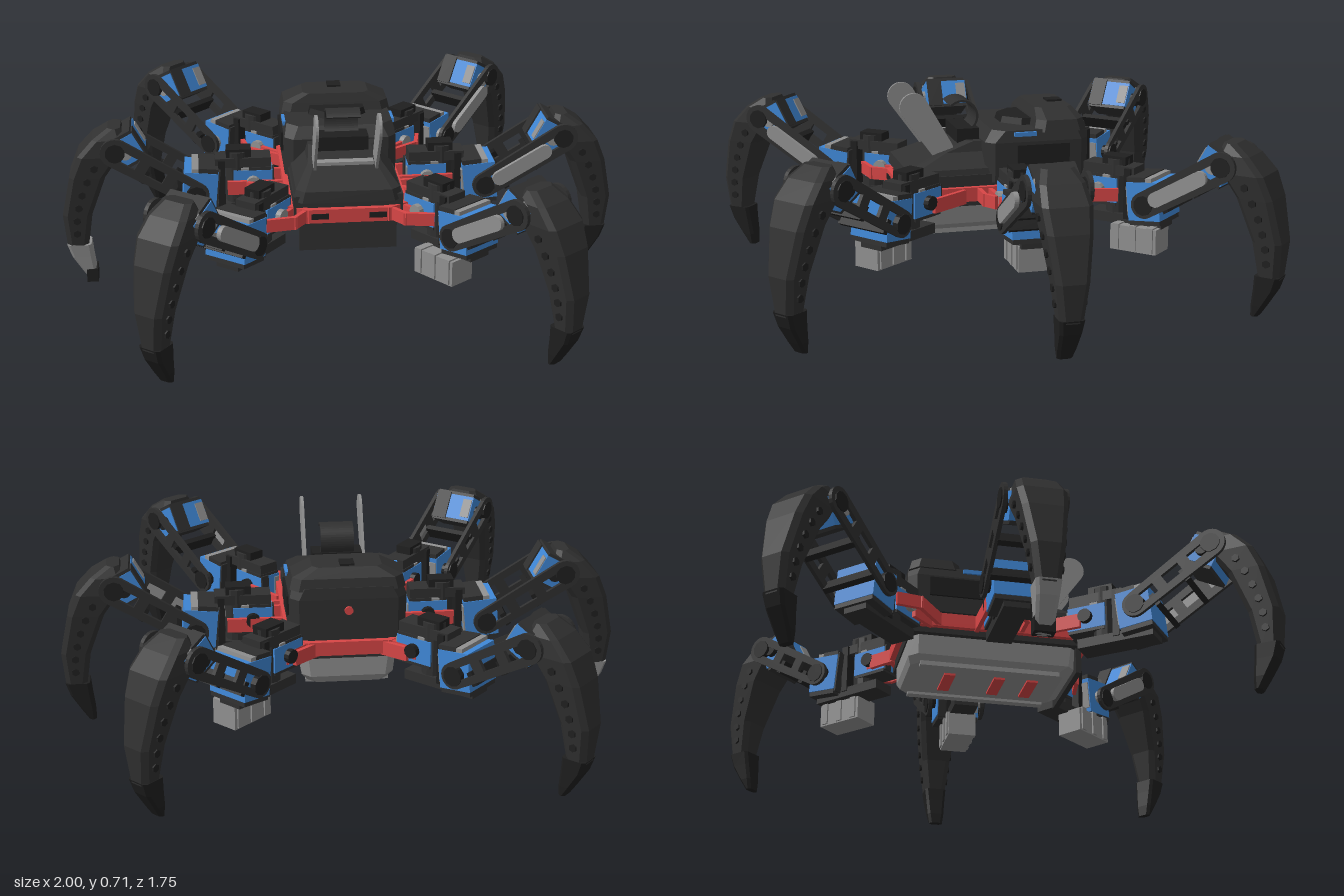
import * as THREE from 'three';

const mat = (color) => new THREE.MeshStandardMaterial({ color, flatShading: true });
const DARK = mat(0x303030), BLACK = mat(0x1f1f1f), GREY = mat(0x909090), BLUE = mat(0x3f87d6), RED = mat(0xd84646);

function add(parent, name, geo, material, x = 0, y = 0, z = 0) {
  const m = new THREE.Mesh(geo, material);
  m.name = name;
  m.position.set(x, y, z);
  parent.add(m);
  return m;
}

// box given by its limits on each axis
function box(parent, name, material, x0, x1, y0, y1, z0, z1) {
  return add(parent, name, new THREE.BoxGeometry(x1 - x0, y1 - y0, z1 - z0), material,
    (x0 + x1) / 2, (y0 + y1) / 2, (z0 + z1) / 2);
}

// chamfered loft going upward; each section is [y, x0, x1, z0, z1, chamfer]
function loft(sections) {
  const pos = [], idx = [];
  for (const [y, a, b, c, d, k] of sections) {
    const ring = [[a + k, c], [a, c + k], [a, d - k], [a + k, d], [b - k, d], [b, d - k], [b, c + k], [b - k, c]];
    for (const [x, z] of ring) pos.push(x, y, z);
  }
  const top = (sections.length - 1) * 8;
  for (let s = 0; s < top; s += 8) {
    for (let i = 0; i < 8; i++) {
      const j = (i + 1) % 8;
      idx.push(s + i, s + j, s + 8 + j, s + i, s + 8 + j, s + 8 + i);
    }
  }
  for (let i = 1; i < 7; i++) idx.push(0, i + 1, i, top, top + i, top + i + 1);
  const g = new THREE.BufferGeometry();
  g.setAttribute('position', new THREE.Float32BufferAttribute(pos, 3));
  g.setIndex(idx);
  const flat = g.toNonIndexed();
  flat.computeVertexNormals();
  return flat;
}

// rounded link in the xy plane between two points, with optional slots
function link(x0, y0, x1, y1, r0, r1, thick, holes = 0) {
  const len = Math.hypot(x1 - x0, y1 - y0);
  const s = new THREE.Shape();
  s.absarc(0, 0, r0, Math.PI / 2, Math.PI * 1.5);
  s.absarc(len, 0, r1, -Math.PI / 2, Math.PI / 2);
  s.closePath();
  for (let i = 0; i < holes; i++) {
    const cx = len * (i + 0.5) / holes, w = len / holes * 0.32, h = Math.min(r0, r1) * 0.45;
    const hole = new THREE.Path();
    hole.moveTo(cx - w, -h);
    hole.lineTo(cx - w, h);
    hole.lineTo(cx + w, h);
    hole.lineTo(cx + w, -h);
    hole.closePath();
    s.holes.push(hole);
  }
  const g = new THREE.ExtrudeGeometry(s, { depth: thick, bevelEnabled: false, curveSegments: 6 });
  g.translate(0, 0, -thick / 2);
  g.rotateZ(Math.atan2(y1 - y0, x1 - x0));
  g.translate(x0, y0, 0);
  return g;
}

// straight square bars through a list of points
function rail(parent, name, pts, h, w) {
  for (let i = 0; i + 1 < pts.length; i++) {
    const [x0, y0, z0] = pts[i], [x1, y1, z1] = pts[i + 1];
    const m = add(parent, name, new THREE.BoxGeometry(w, h, Math.hypot(x1 - x0, y1 - y0, z1 - z0) + w), RED,
      (x0 + x1) / 2, (y0 + y1) / 2, (z0 + z1) / 2);
    m.lookAt(x1, y1, z1);
  }
}

// servo motor: blue middle, dark and grey ends, a grey horn on one side
function servo(parent, name, x, y, z, w, h, d, tilt, side) {
  const g = new THREE.Group();
  g.name = name;
  g.position.set(x, y, z);
  g.rotation.z = tilt;
  parent.add(g);
  box(g, 'servoCase', BLUE, -w / 2, w / 2, -h * 0.4, h * 0.4, -d / 2, d / 2);
  box(g, 'servoTop', DARK, -w * 0.48, w * 0.1, h * 0.4, h / 2, -d * 0.48, d * 0.48);
  box(g, 'servoLip', GREY, w * 0.1, w * 0.3, h * 0.4, h * 0.48, -d * 0.48, d * 0.48);
  box(g, 'servoBase', DARK, -w * 0.48, w * 0.48, -h / 2, -h * 0.4, -d * 0.48, d * 0.48);
  box(g, 'servoFlange', DARK, -w / 2 - 0.006, -w / 2, -h * 0.45, h * 0.45, -d * 0.48, -d * 0.12);
  box(g, 'servoLabel', GREY, -w / 2 - 0.004, -w / 2, -h * 0.3, h * 0.3, d * 0.25, d * 0.48);
  for (const s of [-1, 1]) {
    const horn = add(g, 'servoHorn', new THREE.CylinderGeometry(0.025, 0.025, 0.02, 12), s === side ? GREY : BLACK,
      0, 0, s * (d / 2 + 0.01));
    horn.rotation.x = Math.PI / 2;
  }
}

// one leg, reaching along +x; s is the lateral side of the outer cover
function makeLeg(s, { cover, pod, paleFoot, rails }) {
  const leg = new THREE.Group();
  const off = -0.02 * s;

  // hip joint
  servo(leg, 'hipServo', 0.115, 0.375, off, 0.14, 0.11, 0.09, 0, s);
  add(leg, 'hipPivot', new THREE.CylinderGeometry(0.042, 0.042, 0.2, 12), DARK, 0.17, 0.385, off);
  box(leg, 'hipYokeTop', DARK, 0.05, 0.25, 0.43, 0.465, off - 0.04, off + 0.04);
  box(leg, 'hipYokeCap', BLACK, 0.12, 0.21, 0.465, 0.495, off - 0.03, off + 0.03);
  box(leg, 'hipYokeBase', DARK, 0.08, 0.36, 0.26, 0.295, off - 0.045, off + 0.045);
  box(leg, 'hipYokeBack', BLACK, 0.215, 0.24, 0.28, 0.46, off - 0.05, off + 0.05);
  for (const side of [-1, 1]) {
    rail(leg, 'hipRail', [[rails[0], 0.36, off + side * 0.06], [rails[1], 0.36, off + side * 0.056]], 0.05, 0.015);
  }
  if (pod) {
    const [x, z] = pod;
    box(leg, 'hangingPod', GREY, x - 0.088, x + 0.088, 0.175, 0.265, z - 0.05, z + 0.05);
    for (const d of [-0.065, 0, 0.065]) box(leg, 'podRib', GREY, x + d - 0.012, x + d + 0.012, 0.18, 0.27, z - 0.056, z + 0.056);
  }

  // thigh: two motors between slotted plates
  servo(leg, 'thighServo', 0.305, 0.36, off, 0.12, 0.17, 0.16, 0.1, s);
  servo(leg, 'kneeServo', 0.565, 0.52, off, 0.11, 0.12, 0.16, -0.5, s);
  for (const side of [-1, 1]) {
    const z = off + side * 0.102;
    add(leg, 'thighPlate', link(0.32, 0.355, 0.6, 0.525, 0.046, 0.052, 0.014, 3), DARK, 0, 0, z);
    for (const [x, y] of [[0.32, 0.355], [0.6, 0.525]]) {
      add(leg, 'plateHub', new THREE.CylinderGeometry(0.035, 0.035, 0.022, 10), BLACK, x, y, z).rotation.x = Math.PI / 2;
    }
  }
  if (cover) add(leg, 'thighCover', link(0.37, 0.385, 0.53, 0.48, 0.026, 0.026, 0.016), GREY, 0, 0, off + s * 0.116);
  for (const [x, y] of [[0.39, 0.36], [0.5, 0.43]]) {
    const bar = add(leg, 'thighCrossbar', new THREE.BoxGeometry(0.02, 0.05, 0.2), BLACK, x, y, off);
    bar.rotation.z = 0.56;
  }

  // shin, curving out and down
  const shinSections = [[0.14, 0.715, 0.79, 0.04], [0.27, 0.695, 0.8, 0.056], [0.42, 0.64, 0.768, 0.075],
    [0.5, 0.585, 0.735, 0.083], [0.56, 0.57, 0.68, 0.075], [0.597, 0.58, 0.625, 0.055]];
  add(leg, 'shin', loft(shinSections.map(([y, a, b, w]) => [y, a, b, off - w, off + w, 0.018])), DARK);
  for (const side of [-1, 1]) {
    for (let i = 0; i < 6; i++) {
      const t = i / 5, hole = add(leg, 'shinHole', new THREE.CylinderGeometry(0.014, 0.014, 0.02, 6), BLACK,
        0.752 - 0.075 * t * t, 0.2 + 0.26 * t, off + side * (0.044 + 0.033 * t));
      hole.rotation.x = Math.PI / 2;
    }
  }

  // foot
  const footSections = [[0, 0.69, 0.715, 0.026], [0.04, 0.692, 0.74, 0.032], [0.1, 0.7, 0.776, 0.037], [0.15, 0.705, 0.792, 0.042]];
  const foot = footSections.map(([y, a, b, w]) => [y, a, b, off - w, off + w, 0.01]);
  add(leg, 'foot', loft(foot), paleFoot ? GREY : BLACK);
  if (paleFoot) box(leg, 'footPad', BLACK, 0.687, 0.728, 0.0, 0.05, off - 0.034, off + 0.034);
  return leg;
}

// thin curved strip, open towards the front
function archGeometry() {
  const a = Math.PI * 0.75, b = -Math.PI / 2;
  const s = new THREE.Shape();
  s.absarc(0, 0, 0.06, a, b, true);
  s.absarc(0, 0, 0.052, b, a, false);
  s.closePath();
  return new THREE.ExtrudeGeometry(s, { depth: 0.12, bevelEnabled: false, curveSegments: 14 });
}

function makeBody() {
  const body = new THREE.Group();
  body.name = 'body';

  // lower tray and core
  add(body, 'bellyTray', loft([[0.225, -0.14, 0.14, -0.3, 0.25, 0.03], [0.25, -0.16, 0.16, -0.31, 0.29, 0.03],
    [0.335, -0.17, 0.17, -0.31, 0.3, 0.03]]), GREY);
  for (const x of [-0.13, 0.13]) box(body, 'bellyRunner', GREY, x - 0.015, x + 0.015, 0.215, 0.24, -0.27, 0.23);
  for (const z of [-0.15, 0.03, 0.15]) box(body, 'bellyBrace', RED, -0.07, 0.07, 0.217, 0.23, z - 0.02, z + 0.02);
  box(body, 'frontSkirt', DARK, -0.17, 0.17, 0.225, 0.33, 0.285, 0.305);
  box(body, 'core', DARK, -0.19, 0.19, 0.32, 0.43, -0.315, 0.315);

  // sloping front hood
  add(body, 'hood', loft([[0.41, -0.19, 0.19, 0, 0.33, 0.03], [0.45, -0.18, 0.18, 0, 0.325, 0.03],
    [0.5, -0.13, 0.13, 0, 0.2, 0.02], [0.535, -0.12, 0.12, 0, 0.1, 0.02]]), DARK);
  box(body, 'hoodStrip', GREY, -0.1, 0.1, 0.49, 0.51, 0.17, 0.205);

  // rear housing: low front deck, raised back and an eight-sided lid
  add(body, 'rearHousing', loft([[0.4, -0.2, 0.2, -0.325, 0.05, 0.03], [0.54, -0.2, 0.2, -0.325, 0.05, 0.03],
    [0.58, -0.19, 0.19, -0.32, 0.02, 0.04]]), DARK);
  add(body, 'raisedBack', loft([[0.57, -0.2, 0.2, -0.32, -0.13, 0.03], [0.61, -0.19, 0.19, -0.31, -0.14, 0.03],
    [0.643, -0.12, 0.12, -0.285, -0.15, 0.02]]), DARK);
  const lid = add(body, 'lid', new THREE.CylinderGeometry(0.105, 0.115, 0.03, 8), BLACK, 0, 0.588, -0.145);
  lid.rotation.y = Math.PI / 8;
  box(body, 'rearLatch', BLACK, -0.025, 0.025, 0.64, 0.65, -0.275, -0.22);
  add(body, 'rearButton', new THREE.CylinderGeometry(0.015, 0.015, 0.01, 10), RED, 0, 0.5, -0.328).rotation.x = Math.PI / 2;
  for (const s of [-1, 1]) {
    box(body, 'sideVent', BLACK, s * 0.2 - 0.008, s * 0.2 + 0.008, 0.46, 0.53, -0.25, -0.06);
    box(body, 'sideStrip', BLUE, s * 0.19 - 0.012, s * 0.19 + 0.012, 0.56, 0.575, -0.13, -0.05);
  }

  // sensor block with its curved strip
  box(body, 'sensorBlock', BLACK, -0.09, 0.09, 0.52, 0.575, 0.05, 0.13);
  add(body, 'sensorArch', archGeometry(), DARK, -0.06, 0.612, 0.105).rotation.y = Math.PI / 2;

  // paddle aerials leaning forward
  for (const x of [-0.108, 0.108]) {
    const paddle = add(body, 'aerialPaddle', link(-0.19, 0.51, -0.29, 0.665, 0.04, 0.05, 0.01), GREY, x);
    paddle.rotation.y = Math.PI / 2;
  }

  // red frame
  const frame = [[-0.14, 0.33], [0.14, 0.33], [0.2, 0.29], [0.2, -0.29], [0.14, -0.33], [-0.14, -0.33], [-0.2, -0.29], [-0.2, 0.29], [-0.14, 0.33]];
  rail(body, 'frameRail', frame.map(([x, z]) => [x, 0.365, z]), 0.05, 0.02);
  const bumpers = {
    frontBumper: [[0.15, 0.33], [0.19, 0.385], [0.28, 0.4]],
    rearBumper: [[0.15, -0.33], [0.22, -0.4], [0.27, -0.4]],
    rearSideBumper: [[0.2, -0.21], [0.32, -0.3], [0.335, -0.38]],
    sideBumper: [[0.2, 0.08], [0.29, 0.08], [0.33, 0.055]],
  };
  for (const s of [-1, 1]) {
    for (const [name, pts] of Object.entries(bumpers)) {
      rail(body, name, pts.map(([x, z]) => [s * x, 0.365, z]), 0.045, 0.015);
    }
    box(body, 'bumperSlot', BLACK, s * 0.1 - 0.03, s * 0.1 + 0.03, 0.355, 0.375, 0.335, 0.343);
  }
  return body;
}

export function createModel() {
  const model = new THREE.Group();
  model.add(makeBody());
  // place, hip x, hip z, heading, pod centre in the leg's own frame, reach of the hip rails
  const legs = [['front', 0.19, 0.235, 0.91, [0.24, 0.03], [-0.06, 0.09]],
    ['middle', 0.2, 0, 0, [0.255, -0.02], [0, 0.2]], ['rear', 0.175, -0.275, -0.765, [0.27, 0.01], [0, 0.09]]];
  for (const s of [1, -1]) {
    for (const [place, x, z, angle, podAt, rails] of legs) {
      const leg = makeLeg(s, {
        cover: s > 0 || place === 'front', pod: s > 0 && podAt, paleFoot: s < 0 && place === 'middle', rails,
      });
      leg.name = place + (s > 0 ? 'LeftLeg' : 'RightLeg');
      leg.position.set(s * x, 0, z);
      leg.rotation.y = s > 0 ? -angle : Math.PI + angle;
      model.add(leg);
    }
  }
  return model;
}
